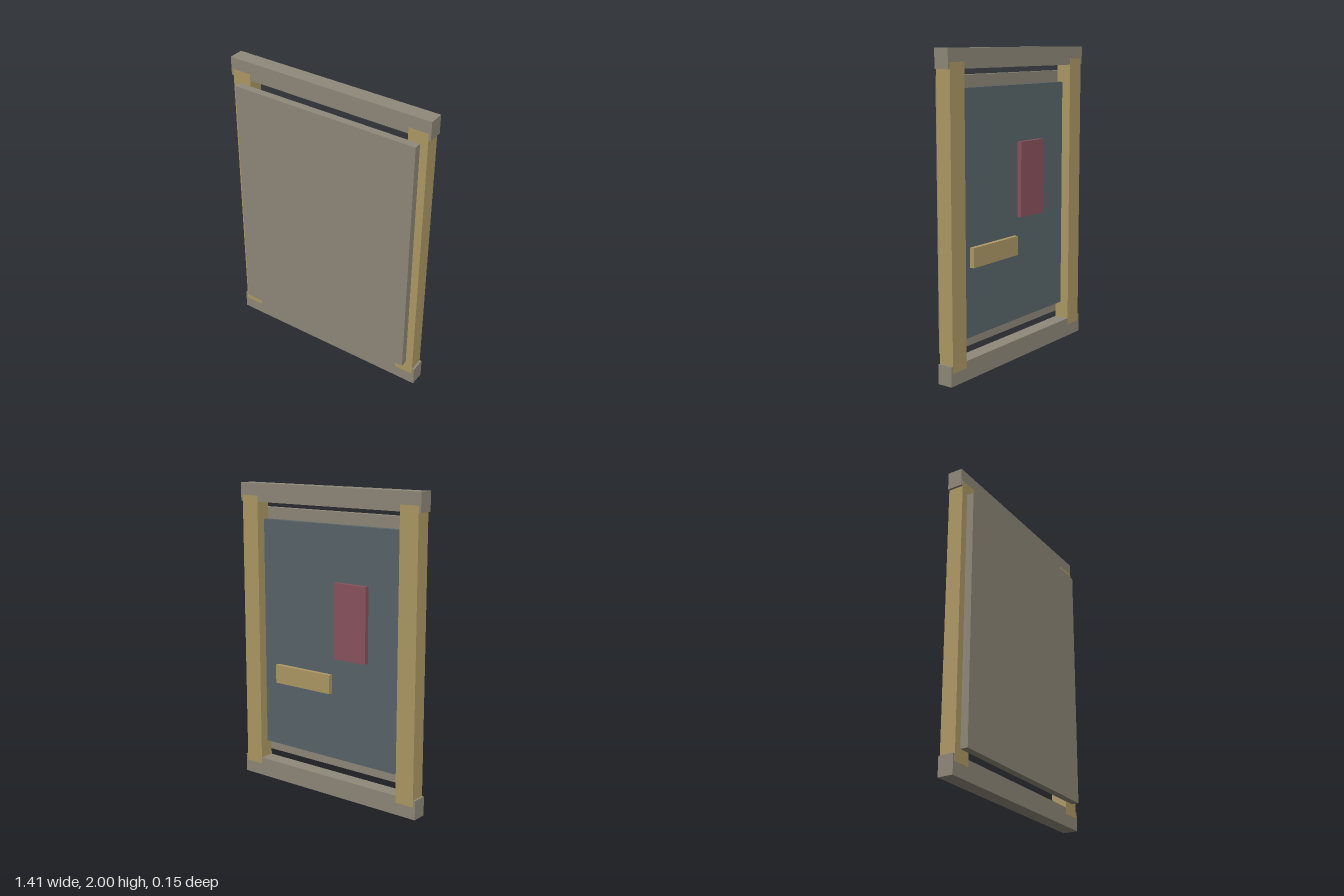
import * as THREE from 'three';

const mat = (name, color) => {
  const m = new THREE.MeshStandardMaterial({ color });
  m.name = name;
  return m;
};

// Box given by its min and max along each axis
function block(name, material, [x0, x1], [y0, y1], [z0, z1]) {
  const mesh = new THREE.Mesh(new THREE.BoxGeometry(x1 - x0, y1 - y0, z1 - z0), material);
  mesh.position.set((x0 + x1) / 2, (y0 + y1) / 2, (z0 + z1) / 2);
  mesh.name = name;
  return mesh;
}

export function createModel() {
  const stone = mat('warm grey', 0x8f8979);
  const wood = mat('tan wood', 0xb09a66);
  const slate = mat('slate blue', 0x5a666b);
  const red = mat('dusty red', 0x8c535e);

  const model = new THREE.Group();
  model.name = 'framedPanel';

  // Frame: bottom and top rails, posts set a hair proud of the rails
  const depth = [-0.075, 0.025];
  model.add(block('bottomRail', stone, [-0.705, 0.705], [0, 0.125], depth));
  model.add(block('topRail', stone, [-0.705, 0.705], [1.88, 2], depth));
  const postDepth = [-0.076, 0.026];
  model.add(block('leftPost', wood, [0.56, 0.69], [0.08, 1.92], postDepth));
  model.add(block('rightPost', wood, [-0.69, -0.56], [0.08, 1.92], postDepth));

  // Front board and the recessed backing board
  model.add(block('frontBoard', stone, [-0.64, 0.64], [0.165, 1.84], [0.025, 0.075]));
  model.add(block('backBoard', slate, [-0.575, 0.575], [0.235, 1.765], [-0.015, 0.025]));

  // Plates fixed to the back
  model.add(block('redPlate', red, [-0.295, -0.045], [0.915, 1.405], [-0.045, -0.015]));
  model.add(block('woodPlate', wood, [-0.01, 0.445], [0.675, 0.8], [-0.045, -0.015]));

  return model;
}
